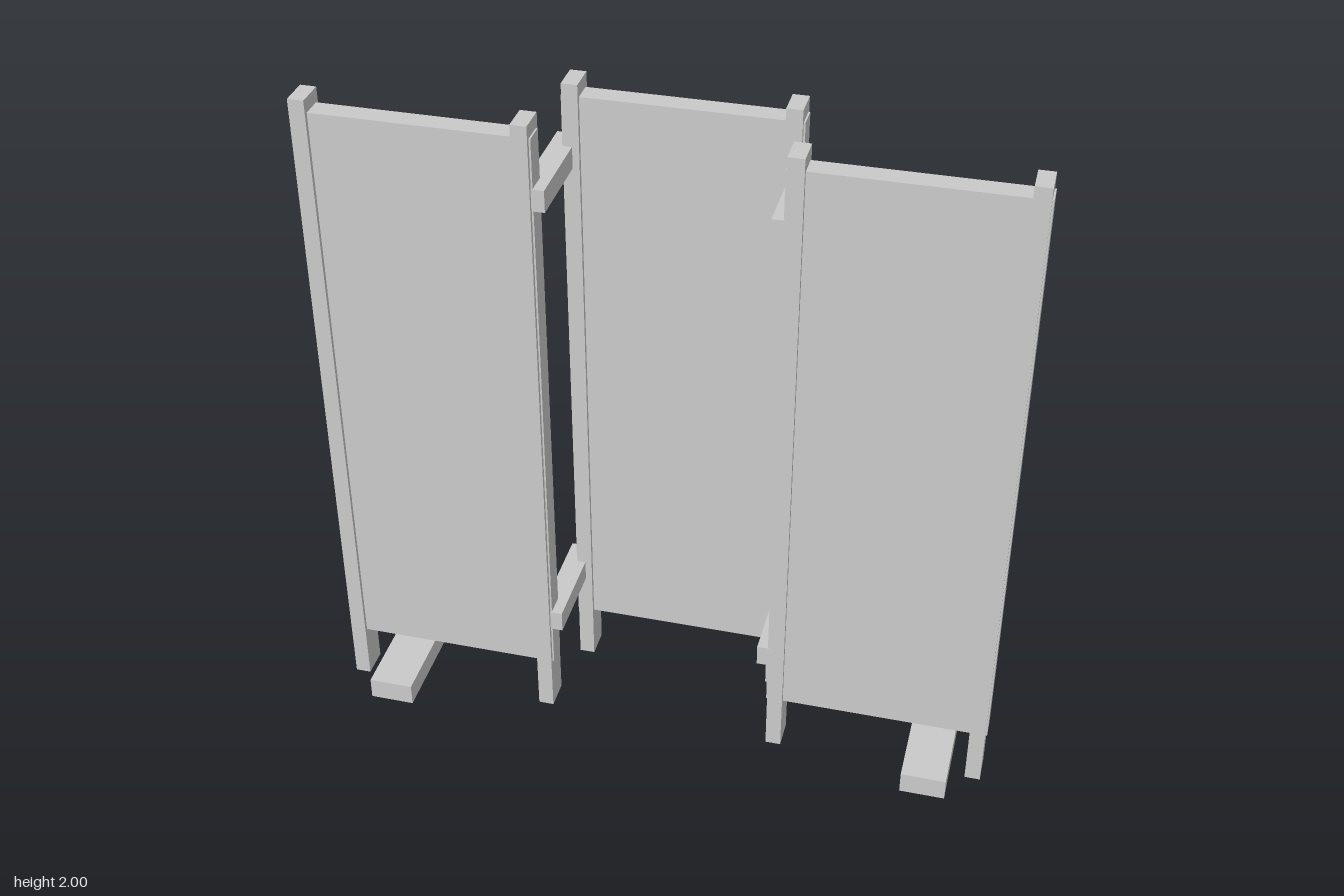
import * as THREE from 'three';

const material = new THREE.MeshStandardMaterial({ color: 0xcccccc, flatShading: true });

// Box given by its lower and upper bounds on each axis
function box(name, [x0, x1], [y0, y1], [z0, z1]) {
  const mesh = new THREE.Mesh(new THREE.BoxGeometry(x1 - x0, y1 - y0, z1 - z0), material);
  mesh.position.set((x0 + x1) / 2, (y0 + y1) / 2, (z0 + z1) / 2);
  mesh.name = name;
  return mesh;
}

// One screen: a board held between two slightly deeper posts
function screen(name, cx, cz) {
  const group = new THREE.Group();
  group.name = name;
  group.add(box('board', [-0.333, 0.333], [0.17, 1.96], [-0.032, 0.032]));
  for (const side of [-1, 1]) {
    const x = side * 0.305;
    group.add(box(side < 0 ? 'rightPost' : 'leftPost', [x - 0.023, x + 0.023], [0, 2], [-0.044, 0.044]));
  }
  group.position.set(cx, 0, cz);
  return group;
}

export function createModel() {
  const model = new THREE.Group();
  model.name = 'foldingScreen';

  // Middle screen stands behind the two outer ones
  model.add(screen('middleScreen', 0, -0.135));
  model.add(screen('rightScreen', -0.667, 0.13));
  model.add(screen('leftScreen', 0.667, 0.13));

  for (const side of [-1, 1]) {
    const label = side < 0 ? 'right' : 'left';
    // Upper and lower rails joining the screens
    for (const [level, y] of [['Lower', 0.305], ['Upper', 1.75]]) {
      const x = side * 0.335;
      model.add(box(label + level + 'Rail', [x - 0.033, x + 0.033], [y, y + 0.065], [-0.172, 0.165]));
    }
    // Foot block under each outer screen
    const fx = side * 0.835;
    model.add(box(label + 'Foot', [fx - 0.067, fx + 0.067], [0, 0.068], [-0.278, 0.278]));
  }
  return model;
}
